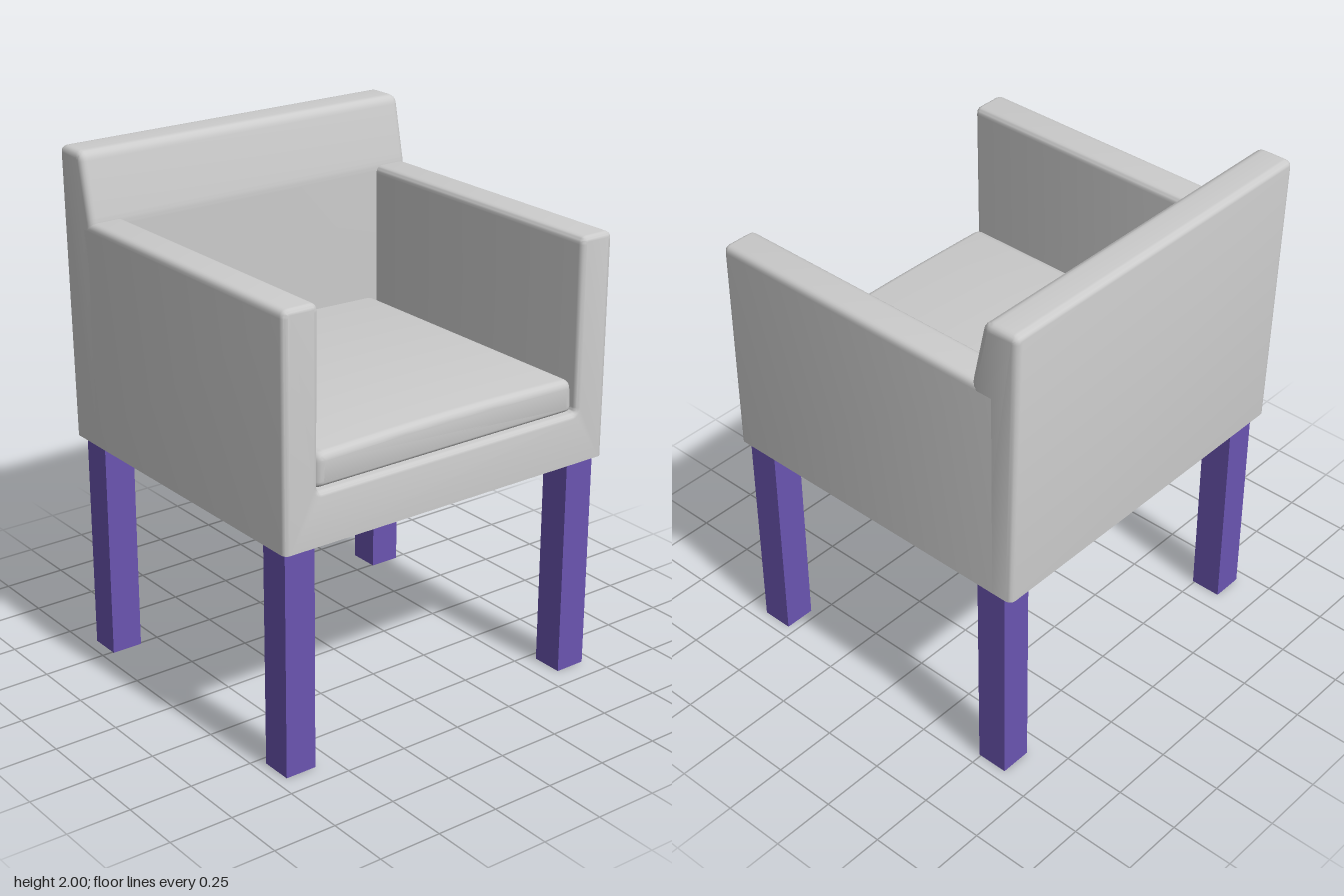
import * as THREE from 'three';
import { toCreasedNormals } from 'three/addons/utils/BufferGeometryUtils.js';

const BOTTOM = 0.875; // underside of the upholstered body
const R = 0.03; // softness of the upholstery edges

// Closed outline from [x, y, cornerRadius] points
function roundedShape(points) {
  const shape = new THREE.Shape();
  const n = points.length;
  points.forEach(([x, y, r = 0], i) => {
    const corner = new THREE.Vector2(x, y);
    const towards = (p) => new THREE.Vector2(p[0], p[1]).sub(corner).setLength(r).add(corner);
    const a = towards(points[(i + n - 1) % n]);
    const b = towards(points[(i + 1) % n]);
    if (i === 0) shape.moveTo(a.x, a.y);
    else shape.lineTo(a.x, a.y);
    if (r > 0) shape.quadraticCurveTo(x, y, b.x, b.y);
  });
  shape.closePath();
  return shape;
}

// Extrude from 0 to depth with soft edges kept inside the outline
function softExtrude(points, depth, bevel) {
  return new THREE.ExtrudeGeometry(roundedShape(points), {
    depth: depth - 2 * bevel,
    bevelThickness: bevel,
    bevelSize: bevel,
    bevelOffset: -bevel,
    bevelSegments: 4,
    curveSegments: 6,
  }).translate(0, 0, bevel);
}

// Press everything below the underside flat, leaving a sharp lower rim
function flattenBottom(geometry) {
  const p = geometry.attributes.position;
  for (let i = 0; i < p.count; i++) p.setY(i, Math.max(p.getY(i), BOTTOM));
  return geometry;
}

export function createModel() {
  const model = new THREE.Group();
  const fabric = new THREE.MeshStandardMaterial({ color: 0xcccccc });
  const legPaint = new THREE.MeshStandardMaterial({ color: 0x6a54b0 });

  const add = (name, geometry, material) => {
    const mesh = new THREE.Mesh(geometry, material);
    mesh.name = name;
    model.add(mesh);
    return mesh;
  };
  const smooth = (geometry) => toCreasedNormals(geometry, 0.7);

  // Arms and seat base: one U-shaped section running front to back
  const low = BOTTOM - R;
  const base = softExtrude([
    [-0.725, low], [0.725, low],
    [0.725, 1.745, R], [0.58, 1.745, R], [0.585, 1.075, 0.02],
    [-0.585, 1.075, 0.02], [-0.58, 1.745, R], [-0.725, 1.745, R],
  ], 1.29, 0.02).translate(0, 0, -0.6);
  add('armsAndBase', smooth(flattenBottom(base)), fabric);

  // Backrest: side profile (x = -z) extruded across the width
  const back = softExtrude([
    [0.49, low], [0.665, low], [0.692, 2, R],
    [0.545, 2, 0.035], [0.49, 1.745, 0.02],
  ], 1.45, 0.025).rotateY(Math.PI / 2).translate(-0.725, 0, 0);
  add('backrest', smooth(flattenBottom(back)), fabric);

  // Seat cushion with a slightly crowned top
  const cushion = softExtrude([
    [-0.582, 1.076, 0.025], [0.582, 1.076, 0.025],
    [0.575, 1.205, 0.035], [0, 1.219, 0.3], [-0.575, 1.205, 0.035],
  ], 1.2, 0.03).translate(0, 0, -0.525);
  add('seatCushion', smooth(cushion), fabric);

  // Four square legs
  for (const [sideName, side] of [['left', 1], ['right', -1]]) {
    for (const [endName, z] of [['Front', 0.597], ['Back', -0.555]]) {
      const leg = add(`${sideName}${endName}Leg`, new THREE.BoxGeometry(0.125, 0.88, 0.125), legPaint);
      leg.position.set(side * 0.642, 0.44, z);
    }
  }
  return model;
}
